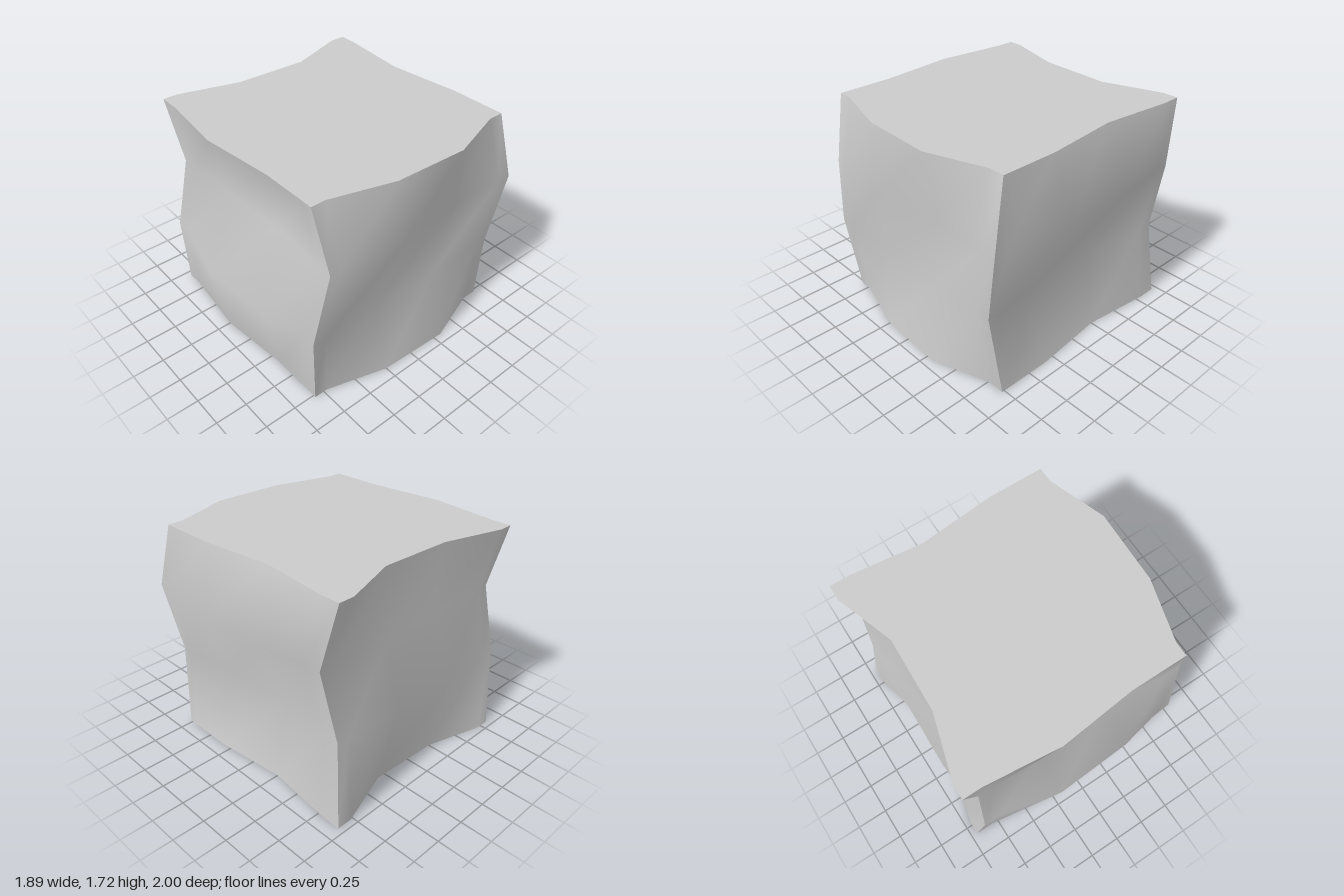
import * as THREE from 'three';

// Each level is one horizontal slice of the block.
// x, z: stations along the slice; dz: z bend at each x station; dx: x bend at each z station.
const rim = {
  x: [-0.95, -0.8, -0.25, 0.33, 0.7, 0.77], dz: [0, 0, 0.06, 0, 0, 0],
  z: [-0.89, -0.77, -0.32, 0.25, 0.72, 0.83], dx: [0, 0, 0.155, 0.135, 0, 0],
};
const levels = [
  { ...rim, y: 0, yMid: 0 },
  {
    y: 0.645, yMid: 0.615,
    x: [-0.88, -0.75, -0.25, 0.37, 0.74, 0.84], dz: [0.06, 0.06, 0.17, 0.135, 0.06, 0.06],
    z: [-0.83, -0.72, -0.26, 0.33, 0.78, 0.89], dx: [0.07, 0.07, 0.055, 0.04, 0.07, 0.07],
  },
  {
    y: 1.225, yMid: 1.2,
    x: [-0.835, -0.7, -0.3, 0.25, 0.77, 0.885], dz: [-0.05, -0.05, -0.085, -0.11, -0.05, -0.05],
    z: [-0.94, -0.82, -0.37, 0.21, 0.69, 0.78], dx: [0.115, 0.115, 0.09, 0.17, 0.115, 0.115],
  },
  { ...rim, y: 1.72, yMid: 1.72 },
];
const N = 6;

// Point i of a slice on each side, running left to right as seen from outside
const height = (l, i) => (i === 2 || i === 3 ? l.yMid : l.y);
const alongX = (l, i, z) => [l.x[i], height(l, i), z + l.dz[i]];
const alongZ = (l, i, x) => [x + l.dx[i], height(l, i), l.z[i]];
const sides = {
  frontFace: (l, i) => alongX(l, i, 0.83),
  leftFace: (l, i) => alongZ(l, N - 1 - i, 0.77),
  backFace: (l, i) => alongX(l, N - 1 - i, -0.89),
  rightFace: (l, i) => alongZ(l, i, -0.95),
};

// One wavy side: smooth inside, sharp where it meets its neighbours
function sideGeometry(point) {
  const positions = [], index = [];
  levels.forEach((l, j) => {
    for (let i = 0; i < N; i++) {
      positions.push(...point(l, i));
      if (j < levels.length - 1 && i < N - 1) {
        const a = j * N + i, d = a + N;
        index.push(a, a + 1, d + 1, a, d + 1, d);
      }
    }
  });
  const geometry = new THREE.BufferGeometry();
  geometry.setAttribute('position', new THREE.Float32BufferAttribute(positions, 3));
  geometry.setIndex(index);
  geometry.computeVertexNormals();
  return geometry;
}

// Flat cap following the slice outline
function capGeometry(level, up) {
  const outline = [];
  for (const point of Object.values(sides)) {
    for (let i = 0; i < N - 1; i++) {
      const [x, , z] = point(level, i);
      outline.push(new THREE.Vector2(x, up ? -z : z));
    }
  }
  const geometry = new THREE.ShapeGeometry(new THREE.Shape(outline));
  geometry.rotateX(up ? -Math.PI / 2 : Math.PI / 2);
  geometry.translate(0, level.y, 0);
  return geometry;
}

export function createModel() {
  const group = new THREE.Group();
  group.name = 'wavyBlock';
  const material = new THREE.MeshStandardMaterial({ color: 0xcccccc });
  const add = (name, geometry) => {
    const mesh = new THREE.Mesh(geometry, material);
    mesh.name = name;
    group.add(mesh);
  };
  for (const [name, point] of Object.entries(sides)) add(name, sideGeometry(point));
  add('topFace', capGeometry(levels[3], true));
  add('bottomFace', capGeometry(levels[0], false));
  return group;
}
